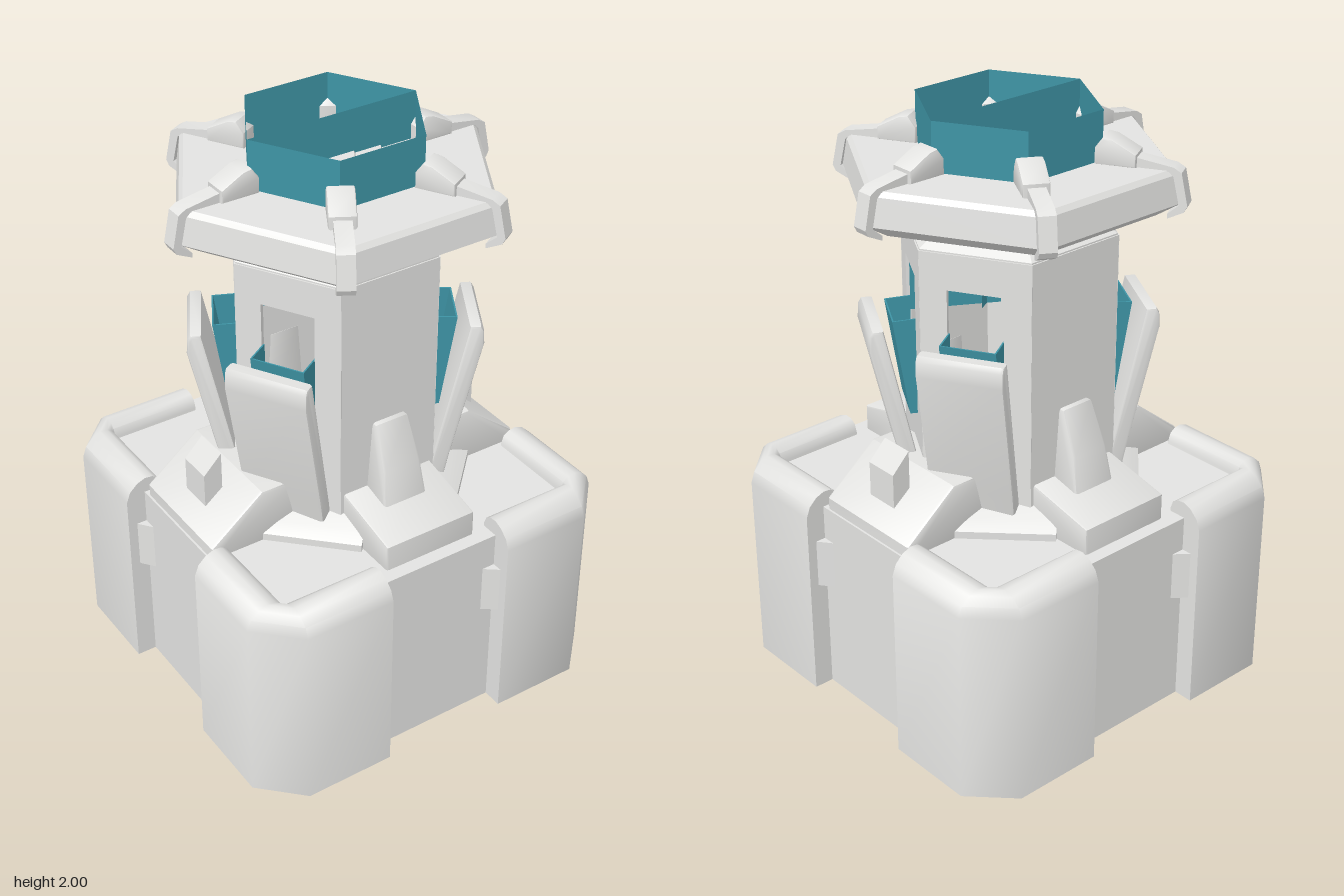
import * as THREE from 'three';
import { toCreasedNormals } from 'three/addons/utils/BufferGeometryUtils.js';

const shell = new THREE.MeshStandardMaterial({ color: 0xe3e3e1, side: THREE.DoubleSide });
shell.name = 'light grey shell';
const glass = new THREE.MeshStandardMaterial({ color: 0x3e94a5, side: THREE.DoubleSide });
glass.name = 'teal glass';

function mesh(name, geometry, material = shell) {
  const m = new THREE.Mesh(geometry, material);
  m.name = name;
  return m;
}

function toShape(points) {
  return new THREE.Shape(points.map(([x, y]) => new THREE.Vector2(x, y)));
}

// Side profile (radius, height) given a width; widthAt(y) may taper it
function slab(points, width, bevel = 0, widthAt = null) {
  const g = new THREE.ExtrudeGeometry(toShape(points), {
    depth: width - 2 * bevel, bevelEnabled: bevel > 0, bevelSize: bevel,
    bevelThickness: bevel, bevelOffset: -bevel, bevelSegments: 2,
  });
  g.translate(0, 0, -(width - 2 * bevel) / 2);
  if (widthAt) {
    const p = g.attributes.position;
    for (let i = 0; i < p.count; i++) p.setZ(i, p.getZ(i) * widthAt(p.getY(i)));
  }
  return toCreasedNormals(g, 0.6);
}

// Six-sided turned form with corners on the x axis, profile from bottom to top
function hexLathe(profile) {
  const points = profile.map(([r, y]) => new THREE.Vector2(r, y));
  return toCreasedNormals(new THREE.LatheGeometry(points, 6, Math.PI / 2), 0.2);
}

// Corner guard: a hollow wall section, open below, swept round a chamfered corner
function cornerGuard() {
  const section = [[0.13, 0], [0, 0], [0, 0.67], [0.014, 0.707], [0.042, 0.733],
    [0.072, 0.745], [0.1, 0.742], [0.12, 0.728], [0.13, 0.7], [0.13, 0]];
  const rows = section.map(([s, y]) => {
    const a = 0.675 - s, b = 0.54 + 0.04 * s;
    return [[0.225, y, a], [b, y, a], [a, y, b], [a, y, 0.225]];
  });
  const pos = [];
  for (let i = 1; i < rows.length - 1; i++) {
    const p = rows[i], q = rows[i + 1];
    for (let j = 0; j < 3; j++) {
      pos.push(...p[j], ...p[j + 1], ...q[j + 1], ...p[j], ...q[j + 1], ...q[j]);
    }
    pos.push(...rows[0][0], ...p[0], ...q[0], ...rows[0][3], ...q[3], ...p[3]);
  }
  const g = new THREE.BufferGeometry();
  g.setAttribute('position', new THREE.Float32BufferAttribute(pos, 3));
  g.computeVertexNormals();
  return toCreasedNormals(g, 0.85);
}

// Flat tower wall at the hexagon's apothem, with an optional window
function towerWall(hasWindow) {
  const shape = toShape([[-0.183, 0.68], [0.183, 0.68], [0.183, 1.6], [-0.183, 1.6]]);
  if (hasWindow) {
    shape.holes.push(new THREE.Path([[-0.092, 1], [-0.092, 1.48], [0.092, 1.48], [0.092, 1]]
      .map(([x, y]) => new THREE.Vector2(x, y))));
  }
  const g = new THREE.ExtrudeGeometry(shape, { depth: 0.015, bevelEnabled: false });
  g.rotateY(Math.PI / 2);
  g.translate(0.301, 0, 0);
  return g;
}

export function createModel() {
  const model = new THREE.Group();

  // Adds copies of a part turned round the vertical axis, angles in degrees
  function around(name, geometry, angles, material = shell) {
    const group = new THREE.Group();
    group.name = name + 's';
    for (const a of angles) {
      const m = mesh(name, geometry, material);
      m.rotation.y = THREE.MathUtils.degToRad(a);
      group.add(m);
    }
    model.add(group);
  }
  const quarters = [0, 90, 180, 270];
  const diagonals = [30, 150, 210, 330];
  const sixths = [0, 60, 120, 180, 240, 300];

  // Hollow base, open underneath
  const wall = new THREE.BoxGeometry(0.01, 0.69, 0.46);
  wall.translate(0.602, 0.345, 0);
  around('baseWall', wall, quarters);
  const floor = new THREE.BoxGeometry(1.2, 0.03, 1.2);
  floor.translate(0, 0.675, 0);
  model.add(mesh('baseFloor', floor));
  around('cornerGuard', cornerGuard(), quarters);

  // Small wedge latches beside the guards
  for (const side of [-1, 1]) {
    const latch = new THREE.ExtrudeGeometry(
      toShape([[side * 0.17, 0.6], [side * 0.228, 0.6], [side * 0.228, 0.645]]),
      { depth: 0.17, bevelEnabled: false });
    latch.rotateX(Math.PI / 2);
    latch.translate(0, 0.57, 0);
    around('latch', latch, quarters);
  }

  // Side housings with upright fins
  around('sideHousing', slab([[0.6, 0.68], [0.6, 0.73], [0.41, 0.88], [0.28, 0.88], [0.28, 0.68]],
    0.42, 0.012), [0, 180]);
  around('sideFin', slab([[0.535, 0.76], [0.535, 0.9], [0.47, 0.965], [0.47, 0.8]], 0.12), [0, 180]);

  // Front and back housings with tapered buttresses
  around('endHousing', slab([[0.56, 0.68], [0.56, 0.78], [0.3, 0.84], [0.28, 0.68]], 0.34, 0.008), [90, 270]);
  around('buttress', slab([[0.425, 0.79], [0.395, 0.93], [0.335, 1.075], [0.3, 1.075], [0.3, 0.79]],
    0.165, 0.012, (y) => 1 - 0.25 * (y - 0.79) / 0.285), [90, 270]);

  // Hexagonal tower with a flared collar
  around('towerWall', towerWall(false), [90, 270]);
  around('windowWall', towerWall(true), diagonals);
  model.add(mesh('collar', hexLathe([[0, 1.59], [0.36, 1.59], [0.36, 1.605], [0.31, 1.635], [0.305, 1.69]])));

  // Open-topped glass bays: a leaning pane between two cheeks
  around('bayPane', slab([[0.385, 1.325], [0.39, 1.325], [0.34, 0.995], [0.335, 0.995]], 0.184), diagonals, glass);
  for (const side of [-1, 1]) {
    const cheek = slab([[0.305, 1.33], [0.39, 1.325], [0.34, 0.995], [0.305, 0.995]], 0.005);
    cheek.translate(0, 0, side * 0.09);
    around('bayCheek', cheek, diagonals, glass);

    // Inner panes running in from the window edges nearest front and back
    const inner = new THREE.PlaneGeometry(0.3, 0.2);
    inner.translate(0.155, 1.38, side * 0.09);
    around('innerPane', inner, side > 0 ? [150, 330] : [30, 210], glass);
  }

  // Leaning armour plates, with low slabs at their feet
  around('armourPlate', slab([[0.29, 0.69], [0.35, 0.69], [0.375, 0.82], [0.473, 1.25], [0.47, 1.3],
    [0.46, 1.318], [0.425, 1.318]], 0.285, 0.01), diagonals);
  around('plateFoot', slab([[0.28, 0.68], [0.44, 0.68], [0.44, 0.715], [0.4, 0.74], [0.28, 0.79]], 0.36),
    [45, 135, 225, 315]);

  // Hexagonal roof with bevelled rim and a raised hub
  model.add(mesh('roof', hexLathe([[0, 1.68], [0.48, 1.68], [0.56, 1.73], [0.545, 1.822], [0.53, 1.838], [0, 1.838]])));
  model.add(mesh('roofHub', hexLathe([[0.18, 1.838], [0.175, 1.85], [0.08, 1.85], [0.075, 1.858], [0, 1.858]])));

  // Clamps hooked over the roof corners
  around('clampArm', slab([[0.38, 1.838], [0.38, 1.875], [0.535, 1.85], [0.56, 1.835], [0.582, 1.73], [0.572, 1.71],
    [0.52, 1.684], [0.52, 1.7], [0.555, 1.73], [0.535, 1.82], [0.52, 1.835]], 0.056), sixths);
  around('clampBlock', slab([[0.29, 1.838], [0.29, 1.89], [0.315, 1.925], [0.345, 1.92], [0.42, 1.88], [0.42, 1.838]],
    0.085, 0.006), sixths);

  // Open glass crown with a dividing pane
  model.add(mesh('glassCrown', hexLathe([[0.305, 1.838], [0.305, 2]]), glass));
  const pane = new THREE.PlaneGeometry(0.61, 0.16);
  pane.translate(0, 1.92, 0);
  model.add(mesh('crownDivider', pane, glass));

  return model;
}
